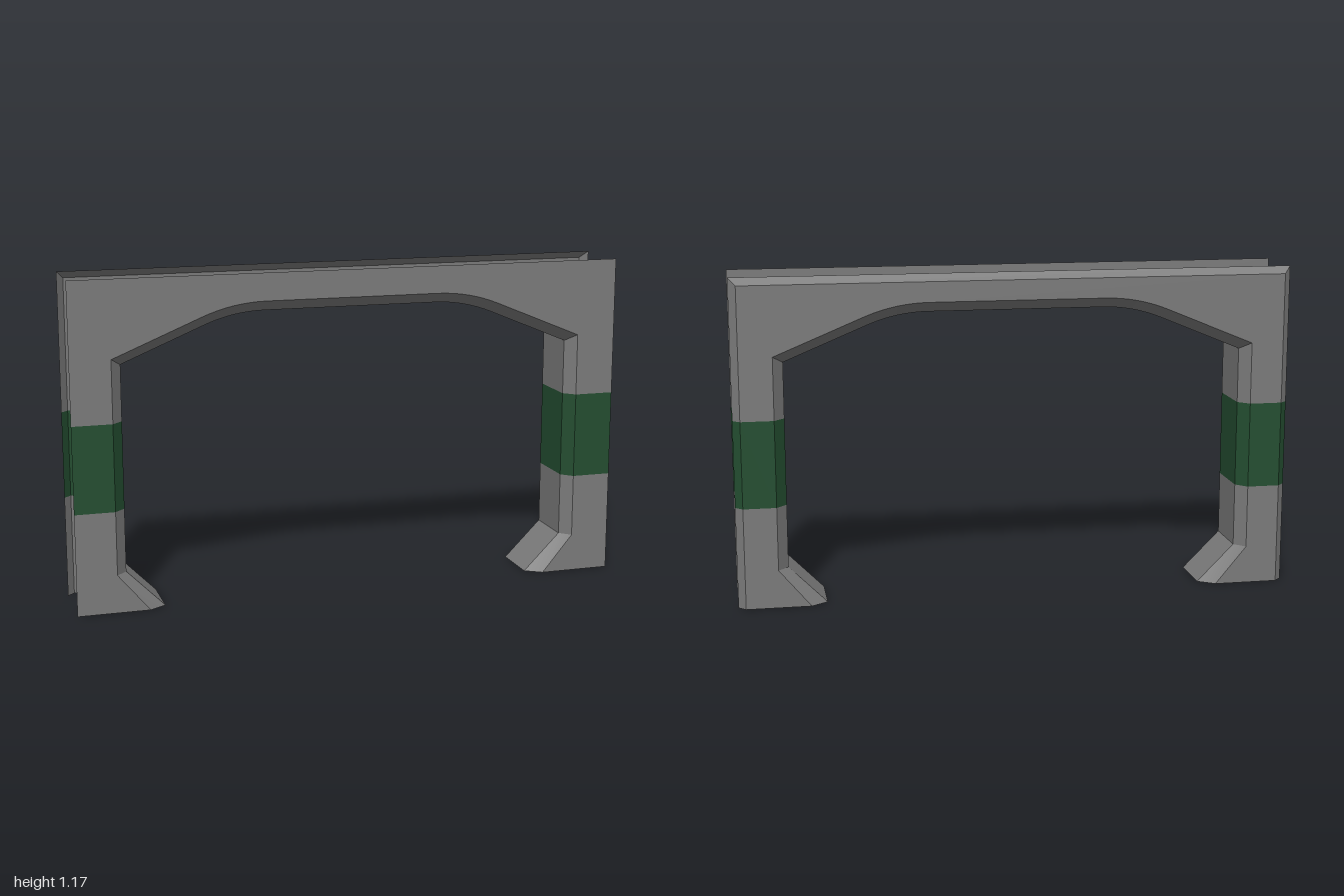
import * as THREE from 'three';
import { toCreasedNormals } from 'three/addons/utils/BufferGeometryUtils.js';

const BAND = [0.365, 0.675]; // height range of the green band
const FRONT = 0.132, BACK = -0.132;

export function createModel() {
  const group = new THREE.Group();
  const gray = new THREE.MeshStandardMaterial({ color: 0x7b7b7b, side: THREE.DoubleSide });
  gray.name = 'gray metal';
  const green = new THREE.MeshStandardMaterial({ color: 0x244e31, side: THREE.DoubleSide });
  green.name = 'dark green';

  const add = (name, geometry, material) => {
    const mesh = new THREE.Mesh(geometry, material);
    mesh.name = name;
    group.add(mesh);
    return mesh;
  };
  const mirror = (half) => [...half, ...half.slice().reverse().map(([x, y]) => [-x, y])];

  // Right half of an opening: flared foot, upright, sloped shoulder, rounded bend, flat top
  const openingHalf = (footX, sideX, shoulderY, topY, bend) => {
    const slope = 0.414, cornerX = sideX - (topY - shoulderY) / slope;
    const curve = new THREE.QuadraticBezierCurve(
      new THREE.Vector2(cornerX + bend * 0.92, topY - bend * 0.92 * slope),
      new THREE.Vector2(cornerX, topY),
      new THREE.Vector2(cornerX - bend, topY));
    return [[footX, 0], [sideX, 0.137], [sideX, BAND[0]], [sideX, BAND[1]], [sideX, shoulderY],
      ...curve.getPoints(8).map((p) => [p.x, p.y])];
  };
  const wideHalf = openingHalf(0.743, 0.857, 0.898, 1.074, 0.12);
  const wide = mirror(wideHalf);
  const narrow = mirror(openingHalf(0.684, 0.82, 0.873, 1.037, 0.112));

  // Band of quads between two matching profiles; quads inside the green band use material 1
  const strip = (name, a, za, b, zb) => {
    const positions = [];
    const geometry = new THREE.BufferGeometry();
    for (let i = 0; i < a.length - 1; i++) {
      const a0 = [...a[i], za], a1 = [...a[i + 1], za];
      const b0 = [...b[i], zb], b1 = [...b[i + 1], zb];
      positions.push(...a0, ...a1, ...b1, ...a0, ...b1, ...b0);
      const mid = (a0[1] + a1[1]) / 2;
      const inBand = mid > BAND[0] && mid < BAND[1] && Math.abs(a0[0] - a1[0]) < 0.01;
      geometry.addGroup(i * 6, 6, inBand ? 1 : 0);
    }
    geometry.setAttribute('position', new THREE.Float32BufferAttribute(positions, 3));
    add(name, toCreasedNormals(geometry, 0.3), [gray, green]);
  };

  // Inner lining with a bevel at each rim
  strip('frontInnerBevel', wide, FRONT, narrow, 0.095);
  strip('innerLining', narrow, 0.095, narrow, -0.092);
  strip('backInnerBevel', narrow, -0.092, wide, BACK);

  // Bevelled outer edge of the back panel
  const outline = (x, y) => mirror([[x, 0], [x, BAND[0]], [x, BAND[1]], [x, y]]);
  strip('backOuterBevel', outline(0.974, 1.146), BACK, outline(1, 1.172), -0.106);

  // Flat panels, cut into feet, green bands and header
  const flat = (points) => new THREE.ShapeGeometry(
    new THREE.Shape(points.map(([x, y]) => new THREE.Vector2(x, y))));
  const panel = (side, z, outerX, topY) => {
    const place = (name, points, material) => {
      const geometry = flat(points);
      if (z < 0) geometry.rotateY(Math.PI);
      add(side + name, geometry.translate(0, 0, z), material);
    };
    const innerX = wideHalf[1][0];
    for (const s of [1, -1]) {
      const tag = (s > 0) === (z > 0) ? 'Left' : 'Right';
      const flip = (points) => points.map(([x, y]) => [x * s, y]);
      place(tag + 'Foot', flip([[outerX, 0], [outerX, BAND[0]], ...wideHalf.slice(0, 3).reverse()]), gray);
      place(tag + 'Band', flip([[outerX, BAND[0]], [outerX, BAND[1]], [innerX, BAND[1]], [innerX, BAND[0]]]), green);
    }
    place('Header', [...mirror(wideHalf.slice(3)),
      [-outerX, BAND[1]], [-outerX, topY], [outerX, topY], [outerX, BAND[1]]], gray);
  };
  panel('front', FRONT, 1, 1.172);
  panel('back', BACK, 0.974, 1.146);

  return group;
}
